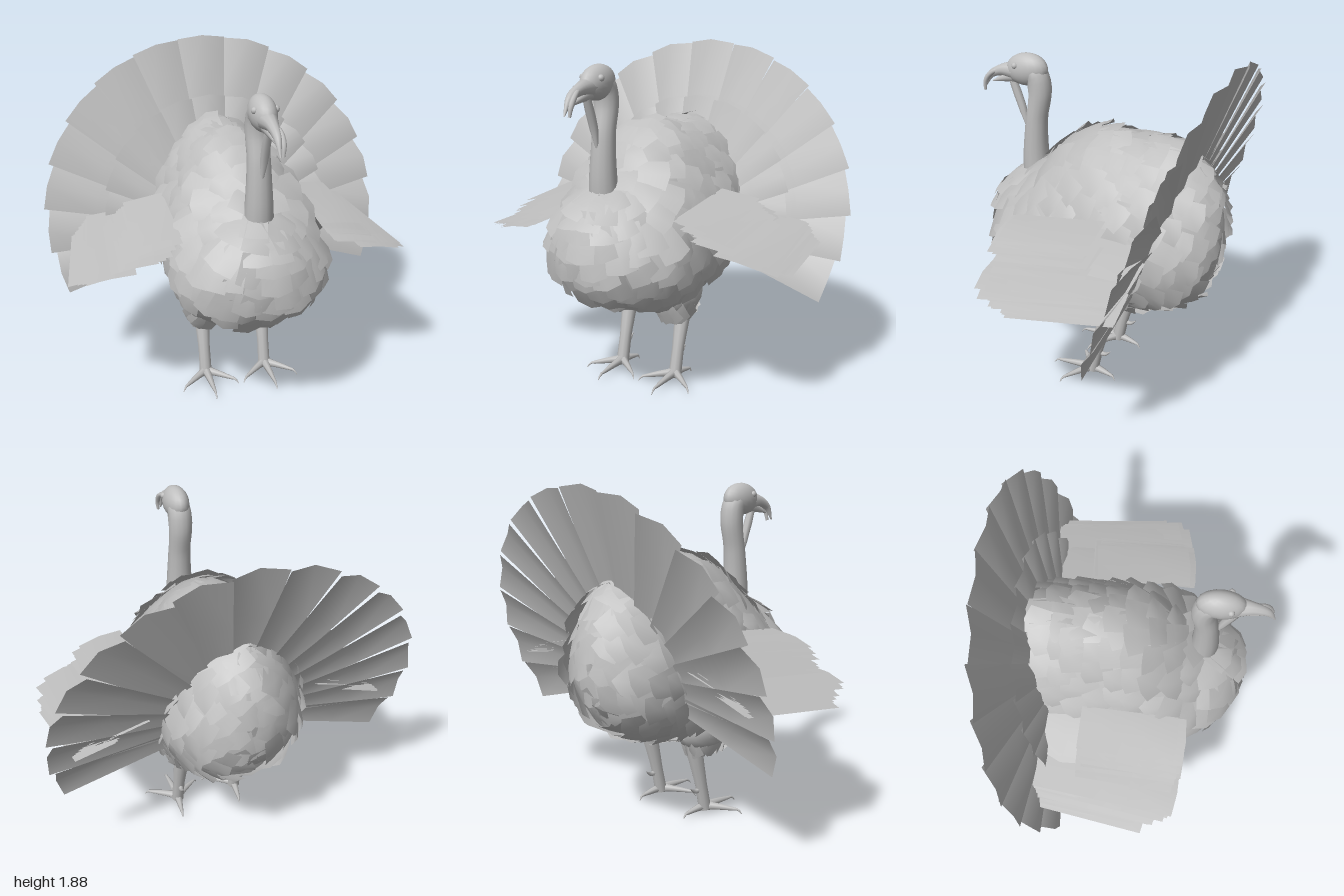
import * as THREE from 'three';
import { mergeGeometries } from 'three/addons/utils/BufferGeometryUtils.js';

const V = (x, y, z) => new THREE.Vector3(x, y, z);
const lerp = THREE.MathUtils.lerp;

// small seeded random source, returns -1..1
let seed = 7;
function jitter() {
  seed = (seed * 16807) % 2147483647;
  return (seed / 2147483647) * 2 - 1;
}

// one feather: a cambered plate growing from base along dir, facing normal
function feather(base, dir, normal, len, w0, w1, { curl = 0, camber = 0.01, tip = 0.02 } = {}) {
  const g = new THREE.PlaneGeometry(1, 1, 2, 3);
  const p = g.attributes.position;
  for (let i = 0; i < p.count; i++) {
    const x = p.getX(i) * 2, t = p.getY(i) + 0.5;
    const mid = 1 - Math.abs(x);
    p.setXYZ(i, x * lerp(w0, w1, t) / 2, t * (len - tip + tip * mid), camber * mid * t - curl * t * t);
  }
  g.computeVertexNormals();
  const y = dir.clone().normalize();
  const x = y.clone().cross(normal).normalize();
  const z = x.clone().cross(y);
  return g.applyMatrix4(new THREE.Matrix4().makeBasis(x, y, z).setPosition(base));
}

// tapered tube through points with matching radii
function taper(points, radii, sides = 10, segs = 16) {
  const curve = new THREE.CatmullRomCurve3(points.map(a => V(...a)));
  const g = new THREE.TubeGeometry(curve, segs, 1, sides);
  const p = g.attributes.position, v = V(0, 0, 0);
  for (let i = 0; i < p.count; i++) {
    const t = Math.floor(i / (sides + 1)) / segs;
    const f = t * (radii.length - 1), k = Math.min(Math.floor(f), radii.length - 2);
    const c = curve.getPointAt(t);
    v.fromBufferAttribute(p, i).sub(c).multiplyScalar(lerp(radii[k], radii[k + 1], f - k)).add(c);
    p.setXYZ(i, v.x, v.y, v.z);
  }
  return g;
}

// body sections: z, centre height, half height, half width
const sections = [
  [0.64, 0.9, 0.01, 0.01], [0.61, 0.9, 0.14, 0.15], [0.51, 0.89, 0.25, 0.28], [0.36, 0.9, 0.34, 0.365],
  [0.18, 0.94, 0.46, 0.39], [0, 0.96, 0.5, 0.39], [-0.2, 0.97, 0.485, 0.39], [-0.38, 0.99, 0.465, 0.37],
  [-0.53, 0.98, 0.38, 0.31], [-0.62, 0.98, 0.24, 0.21], [-0.66, 0.98, 0.01, 0.01],
];
const axis = new THREE.CatmullRomCurve3(sections.map(s => V(0, s[1], s[0])));
const size = new THREE.CatmullRomCurve3(sections.map(s => V(s[3], s[2], 0)));
function bodyPoint(t, a) {
  const c = axis.getPoint(t), r = size.getPoint(t), sn = Math.sin(a);
  // squarer underside, narrower back
  const wide = sn < 0 ? 1 + 0.1 * Math.abs(Math.sin(2 * a)) : 1 - 0.25 * sn;
  const deep = sn < 0 ? 1 + 0.06 * Math.abs(Math.sin(2 * a)) : 1;
  return V(c.x + Math.cos(a) * r.x * wide, c.y + sn * r.y * deep, c.z);
}

export function createModel() {
  seed = 7;
  const model = new THREE.Group();
  const grey = new THREE.MeshStandardMaterial({ color: 0xbfbfbf, side: THREE.DoubleSide });
  grey.name = 'plain grey';
  const add = (name, geo, parent = model) => {
    const m = new THREE.Mesh(geo, grey);
    m.name = name;
    parent.add(m);
    return m;
  };

  // body
  const body = new THREE.PlaneGeometry(1, 1, 28, 30);
  const bp = body.attributes.position;
  for (let i = 0; i < bp.count; i++) {
    const q = bodyPoint(0.5 - bp.getY(i), (bp.getX(i) + 0.5) * Math.PI * 2);
    bp.setXYZ(i, q.x, q.y, q.z);
  }
  body.computeVertexNormals();
  add('body', body);

  // body feathers overlap like shingles and flow away from the neck
  const neckBase = V(0, 1.25, 0.42);
  const coat = [];
  const lay = (p, n, len, w) => {
    const d = p.clone().sub(neckBase);
    d.addScaledVector(n, -d.dot(n)).normalize();
    const side = d.clone().cross(n);
    d.addScaledVector(side, 0.22 * jitter()).addScaledVector(n, 0.24 + 0.09 * jitter());
    const nn = n.clone().addScaledVector(side, 0.14 * jitter());
    const base = p.clone().addScaledVector(d, -len * 0.4).addScaledVector(n, 0.01);
    coat.push(feather(base, d, nn, len, w * 0.8, w, { curl: 0.025, camber: 0.014 }));
  };
  const rows = 19;
  for (let i = 0; i < rows; i++) {
    const t = lerp(0.04, 0.95, i / (rows - 1));
    const r = size.getPoint(t);
    const count = Math.max(5, Math.round((r.x + r.y) * Math.PI / 0.13));
    for (let k = 0; k < count; k++) {
      const a = (k + (i % 2) / 2 + 0.2 * jitter()) / count * Math.PI * 2;
      const p = bodyPoint(t, a);
      const n = bodyPoint(t, a + 0.02).sub(p).cross(bodyPoint(t - 0.01, a).sub(p)).normalize();
      if (n.dot(p.clone().sub(axis.getPoint(t))) < 0) n.negate();
      lay(p, n, 0.2 + 0.04 * jitter(), 0.16 + 0.02 * jitter());
    }
  }
  // thigh feathers
  for (const s of [-1, 1]) for (let k = 0; k < 14; k++) {
    const a = k / 14 * Math.PI * 2;
    const n = V(Math.cos(a), -0.5, Math.sin(a)).normalize();
    lay(V(s * 0.18 + n.x * 0.1, 0.47, -0.02 + n.z * 0.15), n, 0.17, 0.12);
  }
  add('bodyFeathers', mergeGeometries(coat));

  // tail fan: two rings leaning back, with the sides swept further back
  const lean = 0.346;
  const up = V(0, Math.cos(lean), -Math.sin(lean)), face = V(0, Math.sin(lean), Math.cos(lean));
  const fan = (name, count, spread, radius, lift) => {
    const list = [];
    for (let i = 0; i < count; i++) {
      const th = lerp(-spread, spread, i / (count - 1));
      const d = up.clone().multiplyScalar(Math.cos(th)).add(V(Math.sin(th), 0, -0.08 * Math.sin(th) ** 2));
      const n = face.clone().addScaledVector(d.clone().cross(face), -0.03 * Math.sign(th));
      const base = V(0, 0.83, -0.35).addScaledVector(face, lift).addScaledVector(d, 0.12);
      const R = radius(Math.cos(th));
      list.push(feather(base, d, n, R - 0.12, 0.08, R * 2 * spread / (count - 1), { camber: 0.03, tip: 0.012 }));
    }
    add(name, mergeGeometries(list));
  };
  fan('tailFeathers', 15, 1.79, c => 0.99 + 0.12 * c, 0);
  fan('tailCoverts', 13, 1.6, c => 0.66 + 0.1 * c, 0.045);

  // neck, head and beak
  const head = new THREE.Group();
  head.name = 'head';
  model.add(head);
  add('neck', taper([[0, 1.08, 0.41], [0, 1.25, 0.42], [0, 1.45, 0.41], [0, 1.62, 0.385], [0, 1.71, 0.405], [0, 1.74, 0.47]],
    [0.082, 0.075, 0.066, 0.06, 0.066, 0.06], 14, 24), head);
  const skull = new THREE.SphereGeometry(1, 18, 14).scale(0.068, 0.09, 0.125).rotateX(0.12);
  add('skull', skull.translate(0, 1.73, 0.46), head);
  add('upperBeak', taper([[0, 1.715, 0.53], [0, 1.705, 0.62], [0, 1.67, 0.69], [0, 1.59, 0.735]],
    [0.055, 0.032, 0.02, 0.004]), head);
  add('lowerBeak', taper([[0, 1.685, 0.53], [0, 1.665, 0.6], [0, 1.635, 0.68]], [0.038, 0.022, 0.004]), head);
  add('snood', taper([[0, 1.715, 0.6], [0.022, 1.69, 0.67], [0.025, 1.64, 0.71], [0.02, 1.585, 0.72]],
    [0.01, 0.014, 0.015, 0.008], 8), head);
  add('wattle', taper([[0, 1.68, 0.56], [0, 1.6, 0.53], [0, 1.5, 0.495], [0, 1.4, 0.47]],
    [0.02, 0.024, 0.022, 0.008], 8), head);

  for (const s of [-1, 1]) {
    const side = s > 0 ? 'left' : 'right';
    add(side + 'Eye', new THREE.SphereGeometry(0.018, 10, 8).translate(s * 0.054, 1.757, 0.505), head);

    // wing: panel, then rows of feathers, each row running from a first to a last feather
    const wing = new THREE.Group();
    wing.name = side + 'Wing';
    model.add(wing);
    add(side + 'WingPanel', feather(V(s * 0.47, 0.68, -0.3), V(0, 0.35, 0.42), V(0, 0.8, -0.6), 0.55, 0.19, 0.19), wing);
    const row = (name, count, x, y, z, len, width, drift, drop, tilt) => {
      const list = [];
      for (let i = 0; i < count; i++) {
        const f = i / (count - 1);
        list.push(feather(V(s * lerp(x[0], x[1], f), lerp(y[0], y[1], f), z + 0.025 * jitter()),
          V(s * (drift + 0.02 * jitter()), -drop, 0.6), V(s * (tilt + 0.04 * jitter()), 0.95, 0),
          lerp(len[0], len[1], f) + 0.02 * jitter(), width * 0.9, width, { tip: 0.008 }));
      }
      add(side + name, mergeGeometries(list), wing);
    };
    row('InnerWingFeathers', 9, [0.48, 0.6], [1.1, 0.97], -0.2, [0.54, 0.52], 0.25, 0.02, 0.07, 0.16);
    row('ShoulderFeathers', 4, [0.5, 0.6], [1.0, 0.93], -0.42, [0.45, 0.5], 0.24, 0, 0, 0.25);
    row('OuterWingFeathers', 10, [0.66, 0.75], [0.95, 0.86], -0.42, [0.75, 0.58], 0.25, 0.07, 0.06, 0.18);

    // leg with thigh, shank, spur and clawed toes
    const leg = new THREE.Group();
    leg.name = side + 'Leg';
    model.add(leg);
    add(side + 'Thigh', new THREE.SphereGeometry(1, 14, 10).scale(0.13, 0.14, 0.18).translate(s * 0.18, 0.54, -0.03), leg);
    add(side + 'Shank', taper([[s * 0.18, 0.5, -0.12], [s * 0.18, 0.36, -0.085], [s * 0.18, 0.2, -0.045], [s * 0.18, 0.04, -0.01]],
      [0.06, 0.043, 0.034, 0.036]), leg);
    add(side + 'Spur', taper([[s * 0.18, 0.165, -0.05], [s * 0.18, 0.16, -0.09], [s * 0.18, 0.185, -0.125]],
      [0.016, 0.012, 0.002], 6, 6), leg);
    for (const [dx, dz] of [[0, 0.25], [0.165, 0.13], [-0.165, 0.13], [0.02, -0.15]]) {
      const at = (k, y) => [s * 0.18 + dx * k, y, -0.01 + dz * k];
      add(side + 'Toe', taper([at(-0.05, 0.055), at(0.35, 0.05), at(0.75, 0.04), at(0.9, 0.035), at(1, 0.01)],
        [0.032, 0.021, 0.016, 0.01, 0.002], 7, 12), leg);
    }
  }
  return model;
}
